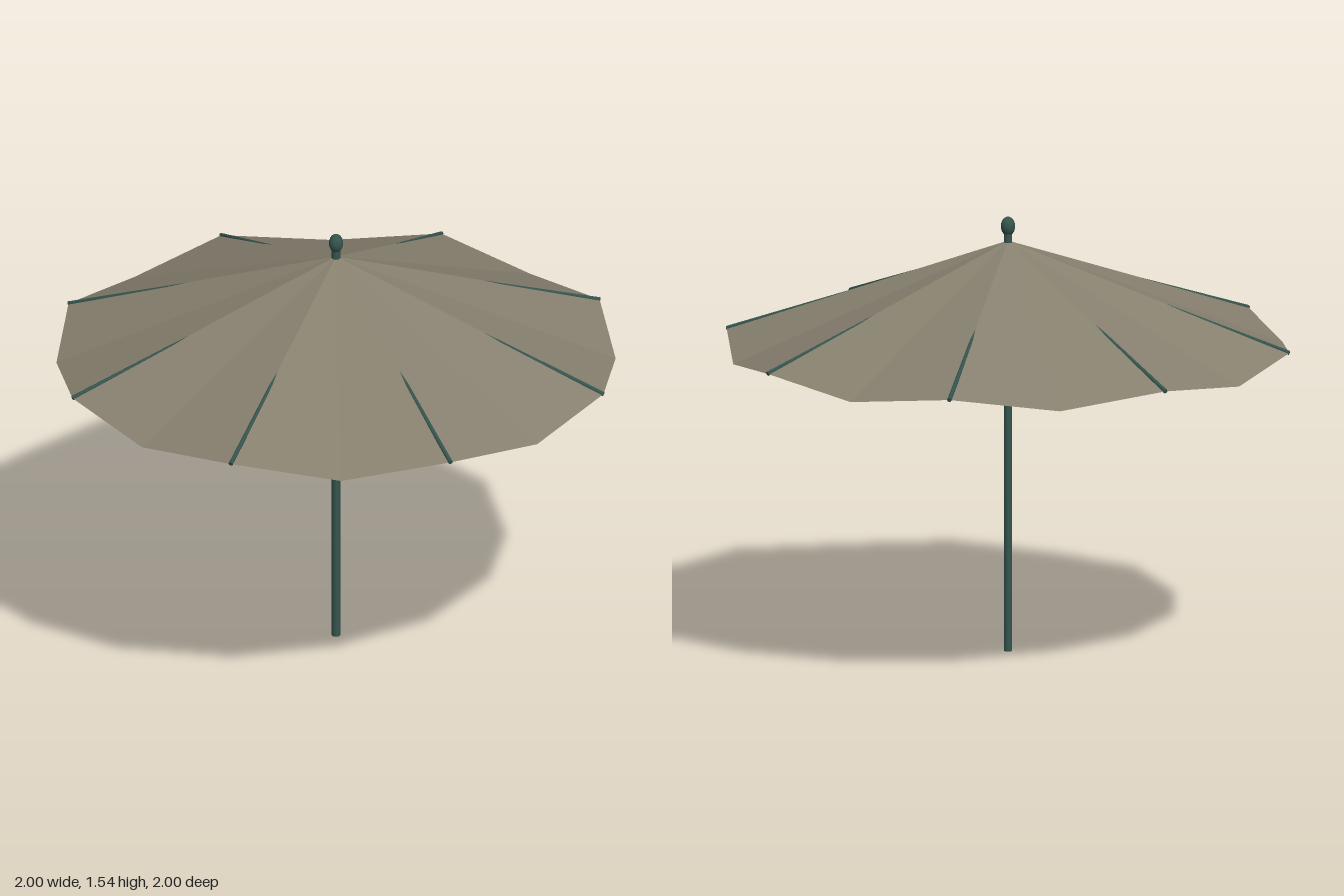
import * as THREE from 'three';

const fabric = new THREE.MeshStandardMaterial({ color: 0x87806f, side: THREE.DoubleSide, flatShading: true });
fabric.name = 'taupe fabric';
const metal = new THREE.MeshStandardMaterial({ color: 0x35544e });
metal.name = 'dark green metal';

const RIBS = 8;
const APEX_Y = 1.455;

function add(parent, name, geometry, material) {
  const mesh = new THREE.Mesh(geometry, material);
  mesh.name = name;
  parent.add(mesh);
  return mesh;
}

// Rim alternates between rib tips and the sagging middle of each panel
function rimPoint(i) {
  const a = (i * Math.PI) / RIBS;
  const onRib = i % 2 === 0;
  const r = onRib ? 0.997 : 0.97;
  return [Math.sin(a) * r, onRib ? 1.1 : 1.055, Math.cos(a) * r];
}

function canopyGeometry() {
  const pos = [];
  for (let i = 0; i < RIBS * 2; i++) pos.push(0, APEX_Y, 0, ...rimPoint(i), ...rimPoint(i + 1));
  const g = new THREE.BufferGeometry();
  g.setAttribute('position', new THREE.Float32BufferAttribute(pos, 3));
  g.computeVertexNormals();
  return g;
}

// Straight rod between two points
function rod(parent, name, from, to, radius) {
  const dir = to.clone().sub(from);
  const mesh = add(parent, name, new THREE.CylinderGeometry(radius, radius, dir.length(), 8), metal);
  mesh.position.copy(from).add(to).multiplyScalar(0.5);
  mesh.quaternion.setFromUnitVectors(new THREE.Vector3(0, 1, 0), dir.normalize());
  return mesh;
}

export function createModel() {
  const group = new THREE.Group();
  group.name = 'parasol';

  add(group, 'canopy', canopyGeometry(), fabric);

  // Pole runs through the canopy and carries the finial
  add(group, 'pole', new THREE.CylinderGeometry(0.015, 0.015, 1.485, 16), metal).position.y = 0.7425;
  const finial = add(group, 'finial', new THREE.SphereGeometry(0.025, 16, 12), metal);
  finial.scale.y = 1.36;
  finial.position.y = 1.506;

  // Ribs start under the apex and break through the fabric near the rim
  const ribs = new THREE.Group();
  ribs.name = 'ribs';
  for (let i = 0; i < RIBS; i++) {
    const a = (i * Math.PI * 2) / RIBS;
    rod(ribs, 'rib', new THREE.Vector3(0, 1.436, 0),
      new THREE.Vector3(Math.sin(a) * 0.997, 1.1, Math.cos(a) * 0.997), 0.008);
  }
  group.add(ribs);
  return group;
}
